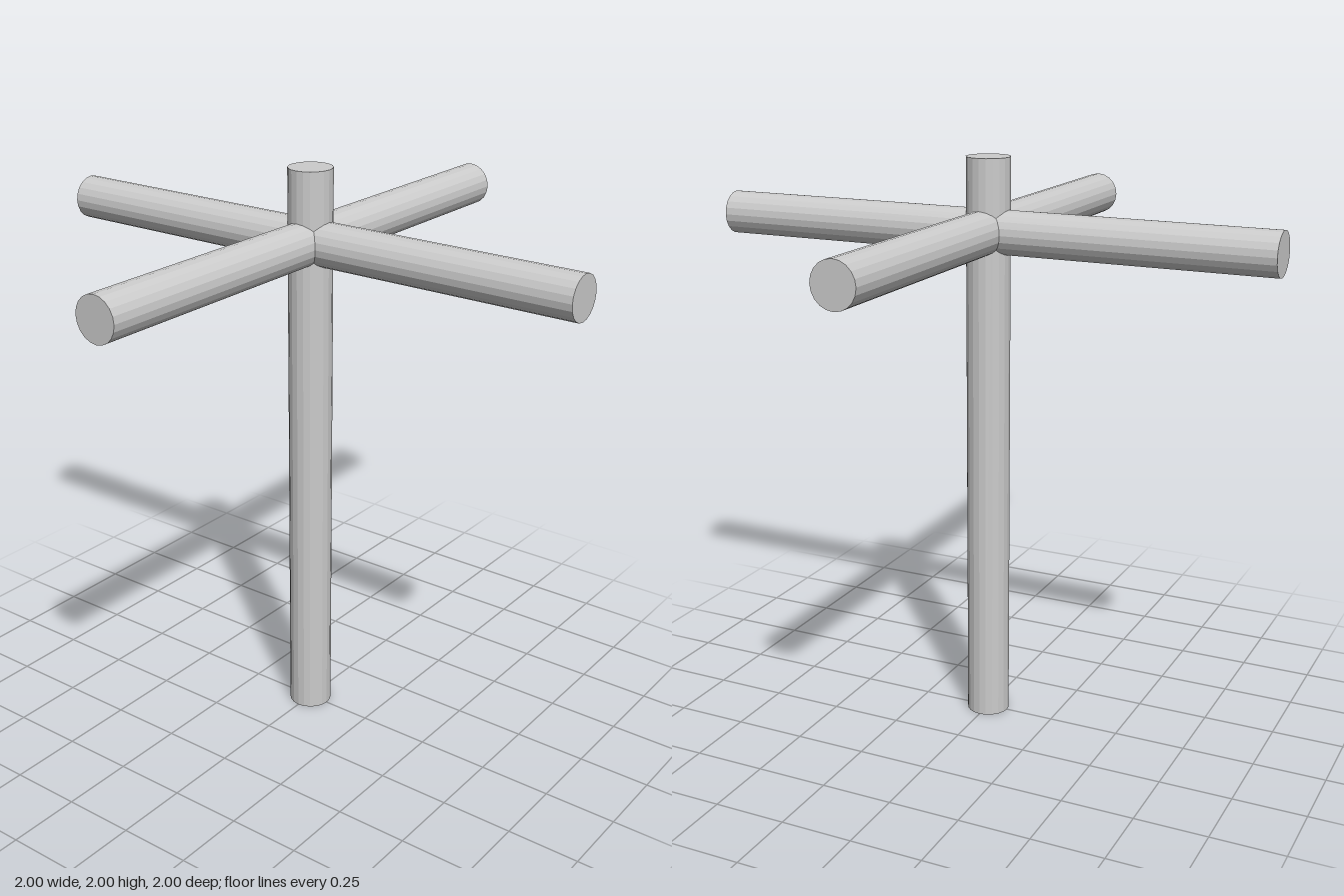
import * as THREE from 'three';

const RADIUS = 0.075;
const LENGTH = 2;
const SIDES = 20;
const ARM_HEIGHT = 1.753;

export function createModel() {
  const group = new THREE.Group();
  const material = new THREE.MeshStandardMaterial({ color: 0xcccccc, flatShading: true });
  const rod = new THREE.CylinderGeometry(RADIUS, RADIUS, LENGTH, SIDES);

  const addRod = (name, y, rx, rz) => {
    const mesh = new THREE.Mesh(rod, material);
    mesh.name = name;
    mesh.position.y = y;
    mesh.rotation.set(rx, 0, rz);
    group.add(mesh);
  };

  // Upright post standing on the ground
  addRod('post', LENGTH / 2, 0, 0);
  // Two crossing arms near the top of the post
  addRod('sideArm', ARM_HEIGHT, 0, Math.PI / 2);
  addRod('frontBackArm', ARM_HEIGHT, Math.PI / 2, 0);

  return group;
}
